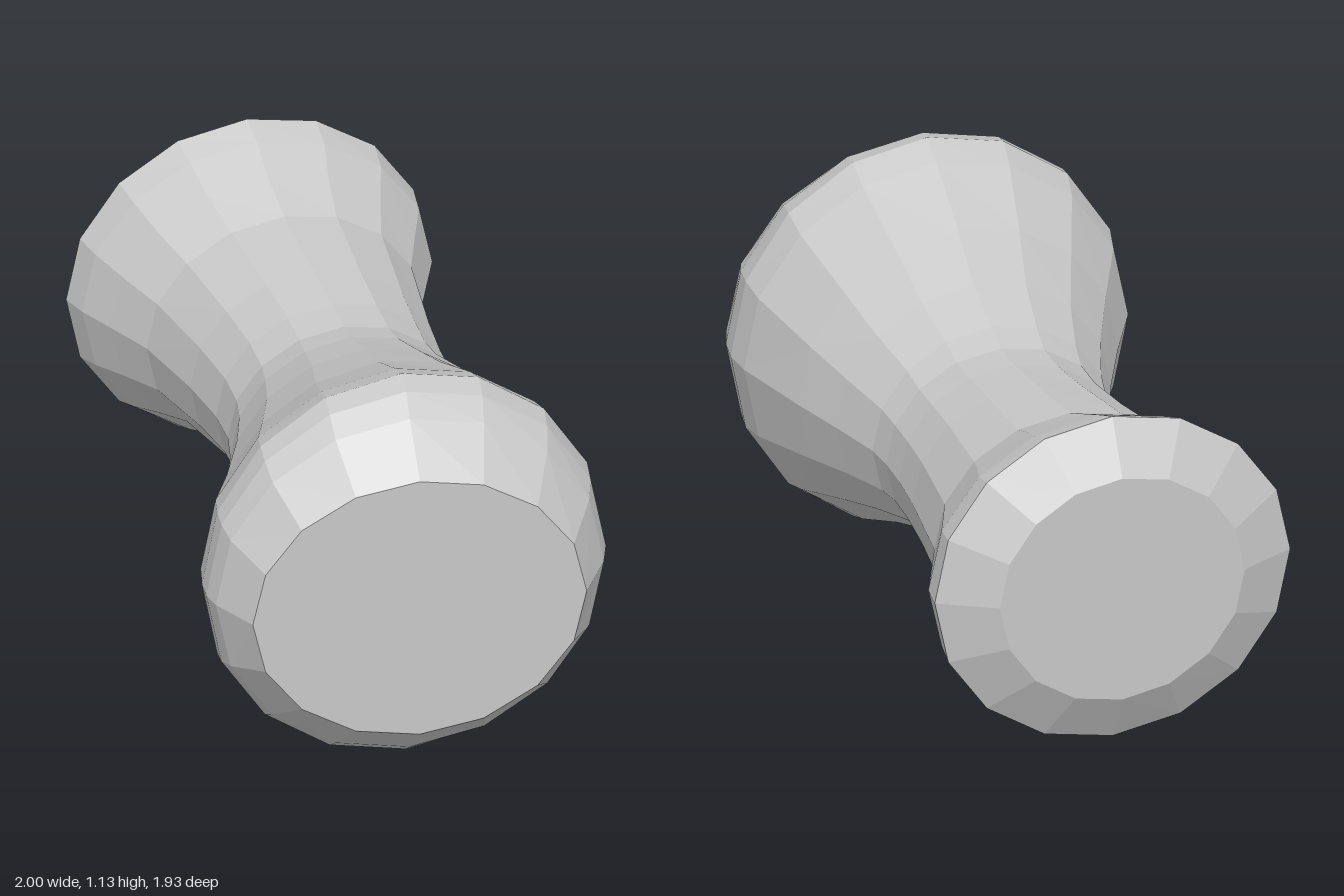
import * as THREE from 'three';

const SIDES = 16;
const MID_Y = 0.565;

// Cross-sections from back to front: edge A (x, z), edge B (x, z), half height
const SECTIONS = [
  [-0.52, -0.91, -0.96, -0.38, 0.325],
  [-0.355, -0.97, -1.0, -0.21, 0.47],
  [-0.30, -0.91, -0.93, -0.18, 0.44],
  [-0.24, -0.79, -0.82, -0.15, 0.39],
  [-0.19, -0.69, -0.68, -0.11, 0.34],
  [0.0, -0.48, -0.47, 0.0, 0.31],
  [0.10, -0.38, -0.33, 0.09, 0.295],
  [0.18, -0.31, -0.24, 0.17, 0.29],
  [0.25, -0.26, -0.18, 0.25, 0.31],
  [0.40, -0.19, -0.10, 0.39, 0.36],
  [0.56, -0.12, 0.0, 0.60, 0.43],
  [0.79, -0.01, 0.08, 0.79, 0.53],
  [0.86, 0.04, 0.13, 0.86, 0.563],
  [0.91, 0.10, 0.17, 0.90, 0.545],
  [0.95, 0.17, 0.22, 0.93, 0.50],
  [1.0, 0.33, 0.36, 0.965, 0.385],
];

// Elliptical ring of points spanning edges A and B
function ring([ax, az, bx, bz, h]) {
  return Array.from({ length: SIDES }, (_, j) => {
    const t = (j / SIDES) * Math.PI * 2;
    const c = Math.cos(t) / 2;
    return [
      (ax + bx) / 2 + c * (ax - bx),
      MID_Y + h * Math.sin(t),
      (az + bz) / 2 + c * (az - bz),
    ];
  });
}

function toMesh(name, triangles, material) {
  const geometry = new THREE.BufferGeometry();
  geometry.setAttribute('position', new THREE.Float32BufferAttribute(triangles.flat(), 3));
  geometry.computeVertexNormals();
  const mesh = new THREE.Mesh(geometry, material);
  mesh.name = name;
  return mesh;
}

export function createModel() {
  const grey = new THREE.MeshStandardMaterial({ color: 0xc8c8c8, flatShading: true });
  grey.name = 'light grey';
  const rings = SECTIONS.map(ring);
  const last = rings.length - 1;

  // Waisted body skinned between neighbouring rings
  const body = [];
  for (let i = 0; i < last; i++) {
    for (let j = 0; j < SIDES; j++) {
      const k = (j + 1) % SIDES;
      const a = rings[i][j], b = rings[i][k], c = rings[i + 1][k], d = rings[i + 1][j];
      body.push(a, b, d, b, c, d);
    }
  }

  // Flat end faces
  const front = [], back = [];
  for (let j = 1; j < SIDES - 1; j++) {
    front.push(rings[last][0], rings[last][j], rings[last][j + 1]);
    back.push(rings[0][0], rings[0][j + 1], rings[0][j]);
  }

  const group = new THREE.Group();
  group.name = 'waistedSpool';
  group.add(
    toMesh('body', body, grey),
    toMesh('frontEnd', front, grey),
    toMesh('backEnd', back, grey),
  );
  return group;
}
